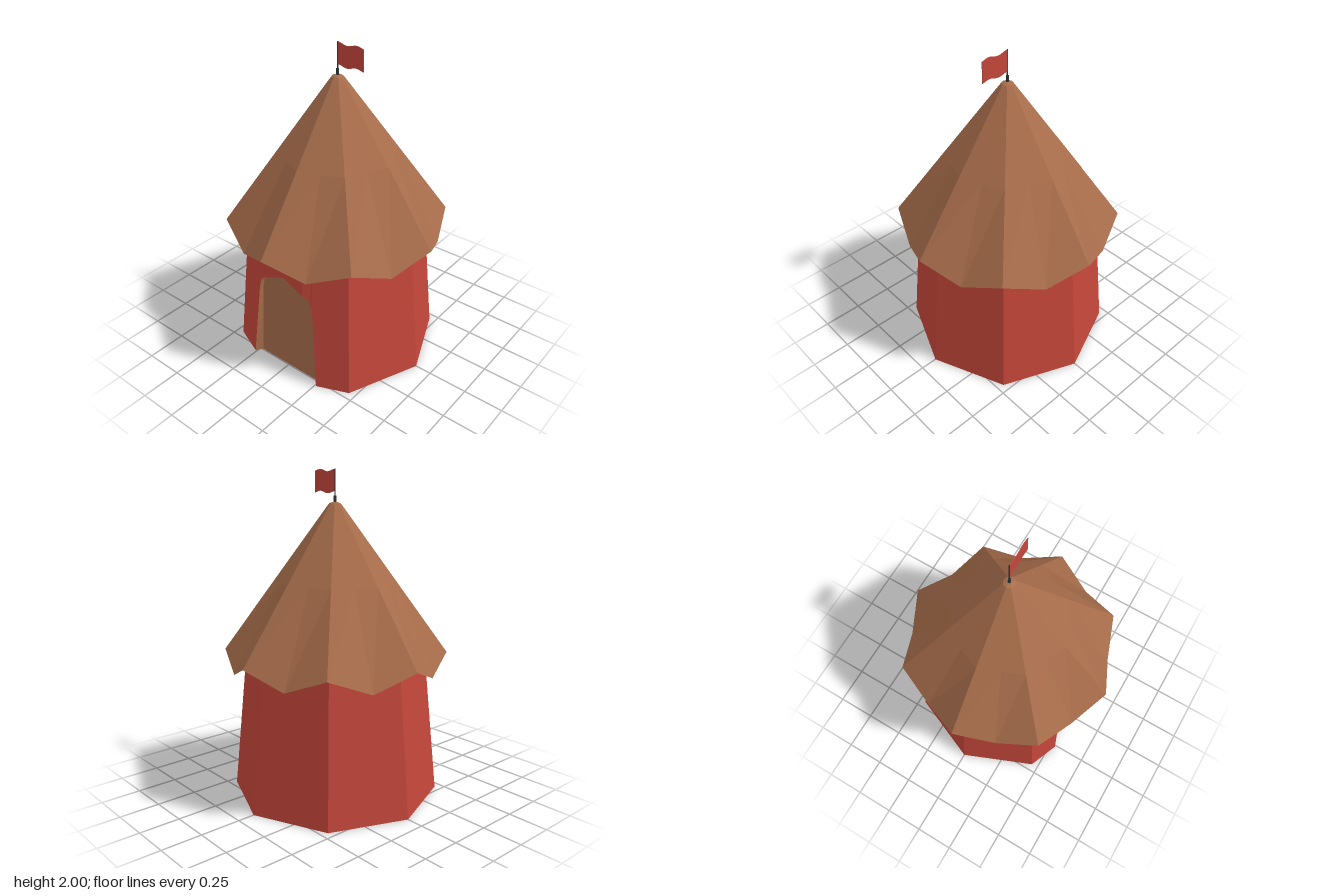
import * as THREE from 'three';

const mat = (color) => new THREE.MeshStandardMaterial({ color, flatShading: true, side: THREE.DoubleSide });

// Skin rows of points (bottom to top, left to right seen from outside)
function sheet(rows) {
  const n = rows[0].length, index = [];
  for (let r = 0; r < rows.length - 1; r++) {
    for (let c = 0; c < n - 1; c++) {
      const a = r * n + c, b = a + n;
      index.push(a, a + 1, b + 1, a, b + 1, b);
    }
  }
  const g = new THREE.BufferGeometry();
  g.setAttribute('position', new THREE.Float32BufferAttribute(rows.flat(2), 3));
  g.setIndex(index);
  const flat = g.toNonIndexed();
  flat.computeVertexNormals();
  return flat;
}

export function createModel() {
  const group = new THREE.Group();
  const red = mat(0xc4463a), brown = mat(0xa86d4b), dark = mat(0x303236);
  const add = (name, geometry, material) => {
    const m = new THREE.Mesh(geometry, material);
    m.name = name;
    group.add(m);
    return m;
  };
  const T = Math.tan(Math.PI / 8), C = Math.cos(Math.PI / 8);

  // Octagonal walls, leaning inward, open at the doorway and underneath
  const wallR = (y) => 0.645 - 0.1 * y;
  const front = [[0.26, 0], [0.238, 0.25], [0.215, 0.5], [0.205, 0.56], [0.2, 1.0]];
  const wallZ = (x, y) => wallR(y) - T * x;
  add('walls', sheet(front.map(([x, y]) => {
    const row = [[x, y, wallZ(x, y)]];
    for (let k = 1; k < 8; k++) {
      const a = k * Math.PI / 4;
      row.push([wallR(y) * Math.sin(a), y, wallR(y) * Math.cos(a)]);
    }
    row.push([-x, y, wallZ(x, y)]);
    return row;
  })), red);

  // Flattened wall panel above the arch
  const arch = [[0.205, 0.56], [0.195, 0.59], [0.15, 0.63], [0, 0.69]];
  const archRow = [...arch.map(([x, y]) => [-x, y]), ...arch.slice(0, 3).reverse()];
  const panelZ = (x, y) => wallZ(0.203, y) + (Math.abs(x) < 0.18 ? 0.02 : 0);
  add('panelOverDoor', sheet([
    archRow.map(([x, y]) => [x, y, panelZ(x, y)]),
    archRow.map(([x]) => [x, 1.0, panelZ(x, 1.0)]),
  ]), red);

  // Doorway: outer outline on the wall, inner outline set back
  const sides = front.slice(0, 3);
  const outline = [...sides.map(([x, y]) => [-x, y]), ...archRow, ...sides.slice().reverse()];
  const outer = outline.map(([x, y]) => [x, y, y < 0.55 ? wallZ(Math.abs(x), y) : panelZ(x, y)]);
  const inner = outline.map(([x, y]) => [x * (1 - 0.115 * Math.max(0, 1 - y / 0.5)), y, 0.495 - 0.045 * y]);
  add('doorJamb', sheet([outer, inner]), brown);
  const door = new THREE.ShapeGeometry(new THREE.Shape(inner.map(([x, y]) => new THREE.Vector2(x, y))));
  const dp = door.attributes.position;
  for (let i = 0; i < dp.count; i++) dp.setZ(i, 0.495 - 0.045 * dp.getY(i));
  door.computeVertexNormals();
  add('door', door, brown);

  // Eight-sided roof with a pointed hem: [radius, corner height, mid-side height]
  const roofRings = [[0.69, 0.9, 0.8], [0.37, 1.34, 1.34], [0.05, 1.78, 1.78]];
  add('roof', sheet(roofRings.map(([r, yc, ym]) => {
    const row = [];
    for (let k = 0; k <= 16; k++) {
      const a = k * Math.PI / 8, mid = k % 2 === 1, s = mid ? r * C : r;
      row.push([s * Math.sin(a), mid ? ym : yc, s * Math.cos(a)]);
    }
    return row;
  })), brown);

  // Rounded tip of the roof
  const tip = [[0.05, 1.78], [0.035, 1.8], [0.018, 1.808], [0, 1.81]];
  add('roofTip', new THREE.LatheGeometry(tip.map(([x, y]) => new THREE.Vector2(x, y)), 8), brown);

  // Flagpole with its socket
  add('poleSocket', new THREE.CylinderGeometry(0.008, 0.01, 0.05, 8), dark).position.y = 1.82;
  add('flagpole', new THREE.CylinderGeometry(0.004, 0.004, 0.2, 8), dark).position.y = 1.9;

  // Waving flag
  const flag = new THREE.BoxGeometry(0.18, 0.128, 0.004, 14, 1, 1);
  flag.translate(0.092, 1.928, 0);
  const fp = flag.attributes.position;
  for (let i = 0; i < fp.count; i++) {
    fp.setY(i, fp.getY(i) + 0.007 * Math.cos(fp.getX(i) / 0.18 * Math.PI * 2.7));
  }
  flag.computeVertexNormals();
  add('flag', flag, red);

  return group;
}
